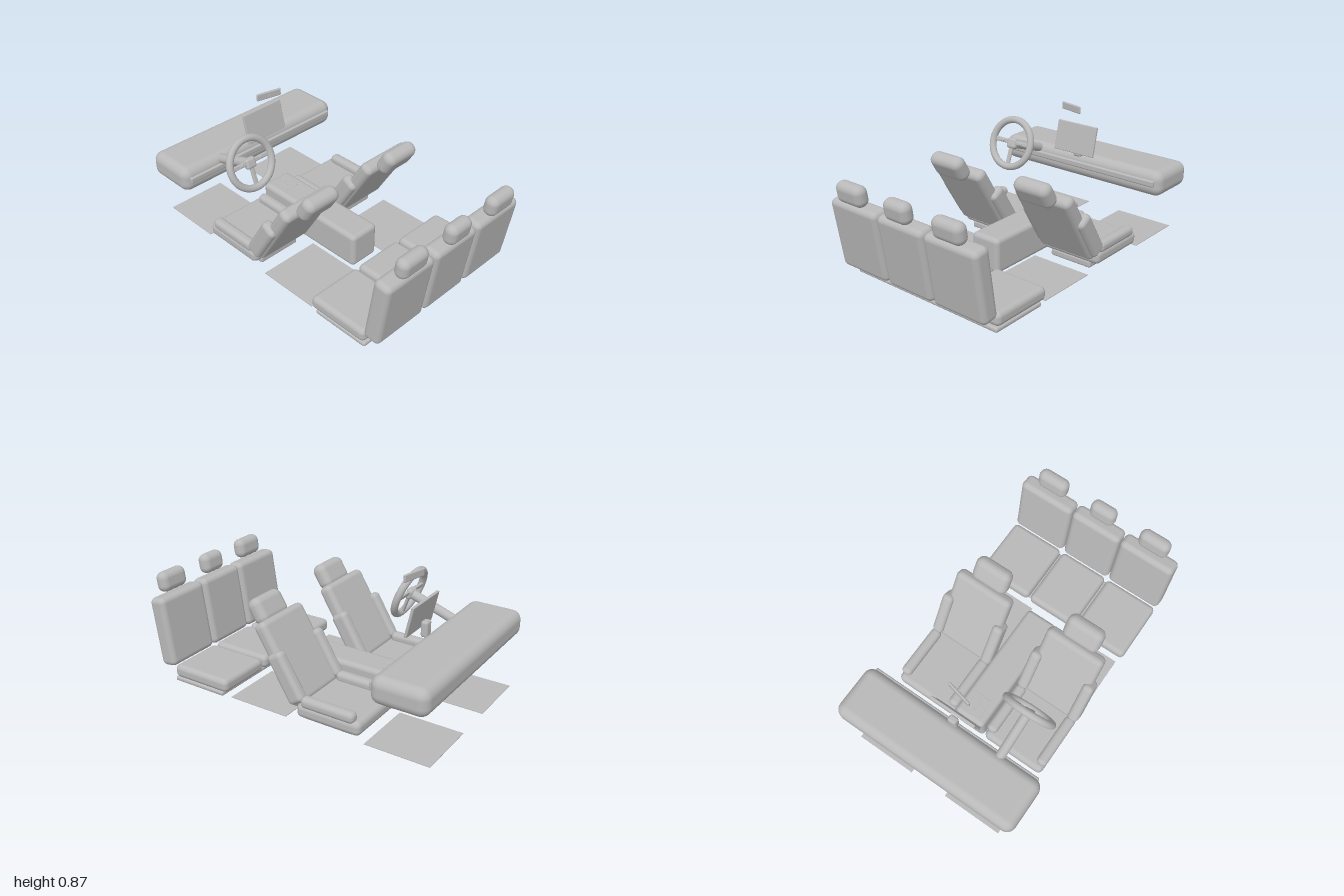
import * as THREE from 'three';
import { RoundedBoxGeometry } from 'three/addons/geometries/RoundedBoxGeometry.js';

const grey = new THREE.MeshStandardMaterial({ color: 0xb8b8b8 });
grey.name = 'plain grey';

function add(parent, name, geometry, x = 0, y = 0, z = 0, tilt = 0) {
  const mesh = new THREE.Mesh(geometry, grey);
  mesh.name = name;
  mesh.position.set(x, y, z);
  mesh.rotation.x = tilt;
  parent.add(mesh);
  return mesh;
}

// Padded block with rounded edges
const pad = (w, h, d, r) => new RoundedBoxGeometry(w, h, d, 5, r);

function group(parent, name, x = 0, y = 0, z = 0, tilt = 0) {
  const g = new THREE.Group();
  g.name = name;
  g.position.set(x, y, z);
  g.rotation.x = tilt;
  parent.add(g);
  return g;
}

// Reclined bucket seat with side bolsters
function frontSeat(parent, name, x) {
  const seat = group(parent, name, x);
  const recline = 0.55;
  add(seat, 'seatBase', pad(0.3, 0.05, 0.34, 0.015), 0, 0.035, -0.305);
  add(seat, 'seatCushion', pad(0.43, 0.09, 0.43, 0.035), 0, 0.095, -0.338);
  add(seat, 'seatBack', pad(0.4, 0.53, 0.09, 0.035), 0, 0.335, 0.01, recline);
  add(seat, 'headrest', pad(0.25, 0.165, 0.1, 0.045), 0, 0.585, 0.217, recline);
  for (const side of [-1, 1]) {
    add(seat, 'cushionBolster', pad(0.07, 0.07, 0.36, 0.03), side * 0.186, 0.155, -0.335);
    add(seat, 'backBolster', pad(0.074, 0.32, 0.11, 0.03), side * 0.19, 0.275, -0.055, recline);
    // headrest posts
    add(seat, 'headrestPost', new THREE.CylinderGeometry(0.008, 0.008, 0.1, 12),
      side * 0.05, 0.55, 0.165, recline);
  }
}

// Three-place rear bench
function rearBench(parent) {
  const bench = group(parent, 'rearBench');
  add(bench, 'benchBase', pad(1.11, 0.032, 0.385, 0.014), 0, 0.031, 0.612);
  const places = [[-0.375, 0.375, 0.21], [0, 0.345, 0.18], [0.375, 0.375, 0.21]];
  for (const [x, width, headWidth] of places) {
    add(bench, 'benchCushion', pad(width, 0.086, 0.415, 0.032), x, 0.088, 0.592);
    add(bench, 'benchBack', pad(width + 0.008, 0.45, 0.115, 0.035), x, 0.328, 0.882, 0.15);
    add(bench, 'benchHeadrest', pad(headWidth, 0.13, 0.09, 0.043), x, 0.617, 0.951, 0.15);
  }
}

// Wheel faces the driver and leans with its column
function steering(parent) {
  const g = group(parent, 'steering', -0.335, 0.583, -0.365, -0.34);
  add(g, 'wheelRim', new THREE.TorusGeometry(0.157, 0.023, 20, 64));
  add(g, 'wheelHub', pad(0.075, 0.07, 0.045, 0.018), 0, 0, -0.012);
  for (const side of [-1, 1]) {
    add(g, 'sideSpoke', pad(0.12, 0.03, 0.018, 0.008), side * 0.092, 0.008, -0.008);
    add(g, 'wheelButtons', pad(0.03, 0.016, 0.01, 0.004), side * 0.075, 0.008, 0.004);
  }
  add(g, 'lowerSpoke', pad(0.03, 0.13, 0.018, 0.008), 0, -0.092, -0.008);
  const column = new THREE.CylinderGeometry(0.03, 0.03, 0.31, 32);
  column.rotateX(Math.PI / 2);
  add(g, 'steeringColumn', column, 0, 0, -0.17);
}

function dashboard(parent) {
  const g = group(parent, 'dashboardGroup');
  add(g, 'dashboard', pad(1.27, 0.168, 0.35, 0.06), 0, 0.427, -0.825);
  add(g, 'dashTrim', pad(1.19, 0.042, 0.025, 0.01), 0, 0.437, -0.648);
  // Central display on a bracket
  add(g, 'displayBracket', pad(0.06, 0.1, 0.045, 0.015), 0, 0.54, -0.658);
  const display = group(g, 'display', 0, 0.622, -0.627, -0.22);
  add(display, 'displayPanel', pad(0.31, 0.198, 0.018, 0.005));
  for (let i = 0; i < 6; i++) {
    add(display, 'displayButton', new THREE.BoxGeometry(0.006, 0.01, 0.003),
      0.143, 0.07 - i * 0.028, 0.0095);
  }
}

export function createModel() {
  const model = new THREE.Group();
  model.name = 'carInterior';

  dashboard(model);
  steering(model);
  frontSeat(model, 'driverSeat', -0.335);
  frontSeat(model, 'passengerSeat', 0.335);
  rearBench(model);

  // Centre console with a lid and two shallow trays
  const console_ = group(model, 'centreConsole');
  add(console_, 'consoleBody', pad(0.21, 0.23, 0.825, 0.03), 0, 0.118, -0.128);
  for (const side of [-1, 1]) {
    add(console_, 'consoleTray', pad(0.05, 0.004, 0.13, 0.001), side * 0.03, 0.233, -0.435);
  }

  // Rear-view mirror, turned toward the driver
  const mirror = group(model, 'mirror', 0, 0.845, -0.568);
  mirror.rotation.y = -0.22;
  add(mirror, 'mirrorHousing', pad(0.17, 0.048, 0.016, 0.007));
  add(mirror, 'mirrorSensor', pad(0.012, 0.012, 0.006, 0.002), 0, 0, 0.008);

  // Floor mats
  for (const side of [-1, 1]) {
    for (const z of [-0.785, 0.16]) {
      add(model, 'floorMat', new THREE.BoxGeometry(0.406, 0.004, 0.41), side * 0.333, 0.021, z);
    }
  }
  return model;
}
